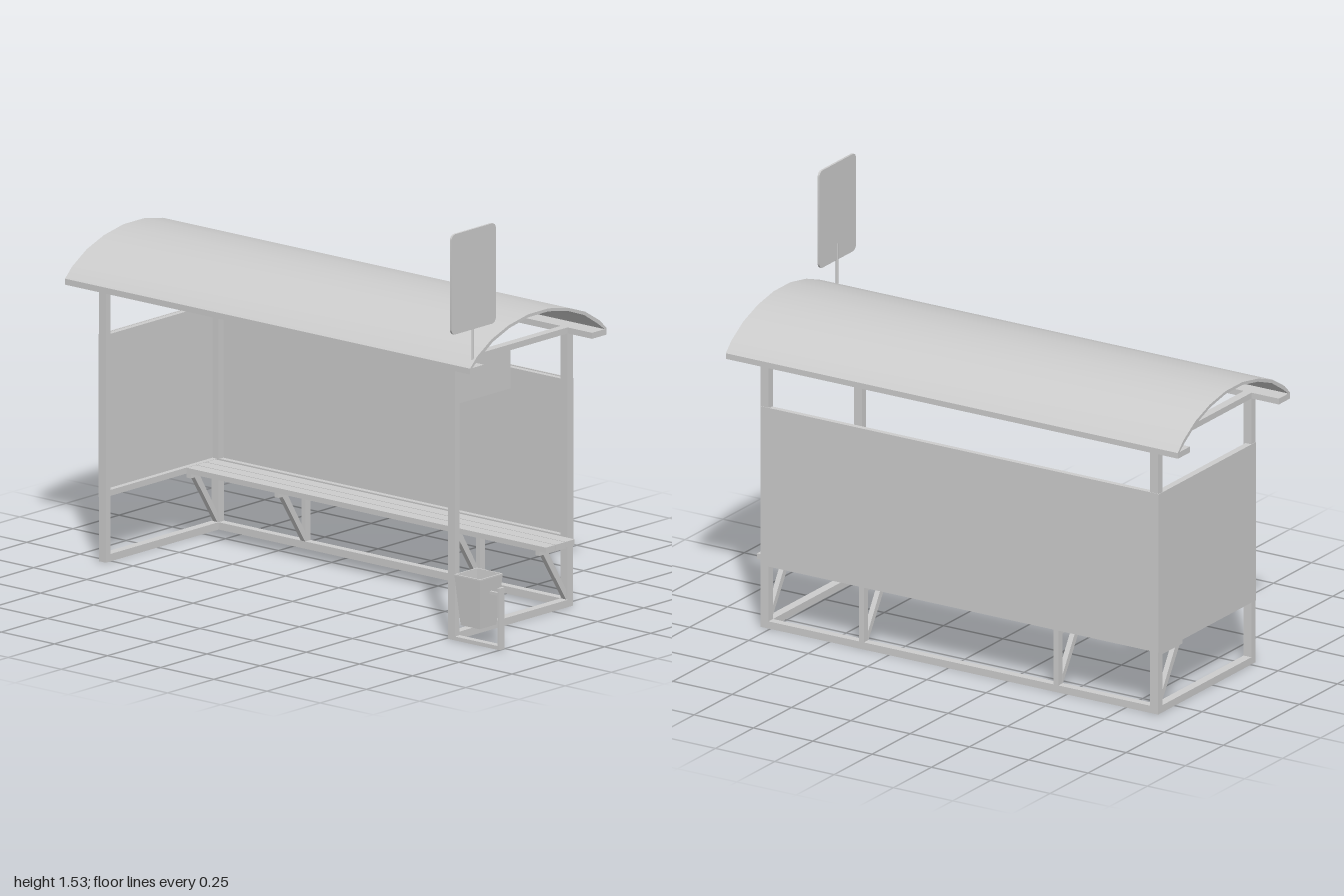
import * as THREE from 'three';
import { toCreasedNormals } from 'three/addons/utils/BufferGeometryUtils.js';

export function createModel() {
  const model = new THREE.Group();
  model.name = 'busShelter';
  const grey = new THREE.MeshStandardMaterial({ color: 0xcccccc });
  grey.name = 'grey';

  function add(name, geometry) {
    const mesh = new THREE.Mesh(geometry, grey);
    mesh.name = name;
    model.add(mesh);
    return mesh;
  }
  // Box given by its limits on each axis
  function box(name, x0, x1, y0, y1, z0, z1) {
    const mesh = add(name, new THREE.BoxGeometry(x1 - x0, y1 - y0, z1 - z0));
    mesh.position.set((x0 + x1) / 2, (y0 + y1) / 2, (z0 + z1) / 2);
    return mesh;
  }
  // Outline in x and y, extruded from z0 to z1
  function prism(name, points, z0, z1) {
    const shape = new THREE.Shape(points.map(p => new THREE.Vector2(p[0], p[1])));
    const geo = new THREE.ExtrudeGeometry(shape, { depth: z1 - z0, bevelEnabled: false });
    geo.translate(0, 0, z0);
    return add(name, toCreasedNormals(geo, 0.5));
  }

  const L = -0.28, R = 0.36, F = 0.79, B = -0.885; // outer limits of the frame

  // Frame: posts, end sills, cross beams and rear sill
  for (const z of [B, F - 0.033]) {
    box('post', L, L + 0.026, 0, 1.005, z, z + 0.033);
    box('post', R - 0.03, R, 0, 1.005, z, z + 0.033);
    box('endSill', L + 0.026, R - 0.03, 0, 0.027, z, z + 0.033);
    box('crossBeam', L, R, 1.005, 1.027, z, z + 0.033);
  }
  box('rearSill', R - 0.03, R, 0, 0.027, B + 0.033, F - 0.033);
  for (const z of [0.365, -0.455]) box('shortPost', R - 0.027, R, 0.027, 0.245, z - 0.01, z + 0.01);

  // Wall sheets with rails behind their edges
  box('rearWall', R - 0.004, R + 0.002, 0.235, 0.835, B, F);
  box('endWall', L, R, 0.235, 0.833, B - 0.002, B + 0.004);
  for (const y of [0.237, 0.81]) {
    box('rearRail', R - 0.025, R - 0.004, y, y + 0.022, B + 0.033, F - 0.033);
    box('endRail', L + 0.026, R - 0.03, y, y + 0.022, B + 0.004, B + 0.025);
  }

  // Bench slats on triangular brackets
  for (let i = 0; i < 3; i++) {
    const x = 0.167 + i * 0.053;
    box('benchSlat', x, x + 0.049, 0.238, 0.258, -0.86, 0.83);
  }
  for (const z of [0.772, 0.365, -0.455, -0.868]) {
    box('bracketArm', 0.187, R - 0.027, 0.215, 0.238, z - 0.01, z + 0.01);
    prism('bracketBrace', [[0.208, 0.215], [0.33, 0.027], [0.33, 0.063], [0.237, 0.215]], z - 0.01, z + 0.01);
  }

  // Roof: eaves planks and a thin arched shell
  box('eavesPlank', -0.33, -0.255, 1.005, 1.027, -1, 0.905);
  box('eavesPlank', 0.33, 0.408, 1.005, 1.027, -1, 0.905);
  const half = [[0.37, 1.027], [0.332, 1.064], [0.253, 1.112], [0.16, 1.145], [0.055, 1.164]];
  const cx = 0.04, t = 0.011;
  const outer = [...half.map(([x, y]) => [cx + x, y]), ...half.slice().reverse().map(([x, y]) => [cx - x, y])];
  const low = half.map(([x, y], i) => [x - 0.012 * (4 - i) / 4, i ? y - t : y]);
  const inner = [...low.map(([x, y]) => [cx - x, y]), ...low.slice().reverse().map(([x, y]) => [cx + x, y])];
  prism('roof', [...outer, ...inner], -1, 0.905);

  // Rounded sign on a thin pole, and a hanging plate
  const x0 = -0.42, x1 = -0.18, y0 = 1.165, y1 = 1.533, r = 0.02;
  const corners = [[x1 - r, y0 + r, -1], [x1 - r, y1 - r, 0], [x0 + r, y1 - r, 1], [x0 + r, y0 + r, 2]];
  const outline = [];
  for (const [x, y, q] of corners) {
    for (let i = 0; i <= 4; i++) {
      const a = (q + i / 4) * Math.PI / 2;
      outline.push([x + r * Math.cos(a), y + r * Math.sin(a)]);
    }
  }
  prism('sign', outline, 0.888, 0.896);
  const pole = add('signPole', new THREE.CylinderGeometry(0.005, 0.005, 0.22, 10));
  pole.position.set(-0.3, 1.115, 0.891);
  box('hangingPlate', L + 0.026, 0.037, 0.86, 1.005, 0.769, 0.777);

  // Litter bin: open tapered bucket on a small stand
  const bx = -0.267, bz = 0.89;
  const bucket = [[0.085, 0.061, 0.258], [0.08, 0.055, 0.258], [0, 0.039, 0.078], [0, 0.045, 0.072]];
  const wall = (name, top, bottom, yTop, yBottom, inside) => {
    const s = Math.SQRT2;
    const geo = new THREE.CylinderGeometry(top * s, bottom * s, yTop - yBottom, 4, 1, true, Math.PI / 4).toNonIndexed();
    if (inside) geo.scale(-1, 1, 1);
    geo.computeVertexNormals();
    const mesh = add(name, geo);
    mesh.position.set(bx, (yTop + yBottom) / 2, bz);
  };
  wall('binOuter', bucket[0][1], bucket[3][1], 0.258, 0.072, false);
  wall('binInner', bucket[1][1], bucket[2][1], 0.258, 0.078, true);
  box('binFloor', bx - 0.044, bx + 0.044, 0.072, 0.078, bz - 0.044, bz + 0.044);
  for (const s of [-1, 1]) {
    box('binRim', bx - 0.061, bx + 0.061, 0.254, 0.259, bz + s * 0.058 - 0.003, bz + s * 0.058 + 0.003);
    box('binRim', bx + s * 0.058 - 0.003, bx + s * 0.058 + 0.003, 0.254, 0.259, bz - 0.055, bz + 0.055);
  }
  box('binStandFoot', L, L + 0.026, 0, 0.014, F, 1);
  box('binStandPost', L, L + 0.026, 0, 0.226, 0.99, 1);
  box('binAxle', bx - 0.005, bx + 0.005, 0.196, 0.206, F, 0.99);

  // The frames and sheets are made of grey, so open bin walls show both sides
  grey.side = THREE.DoubleSide;
  return model;
}
